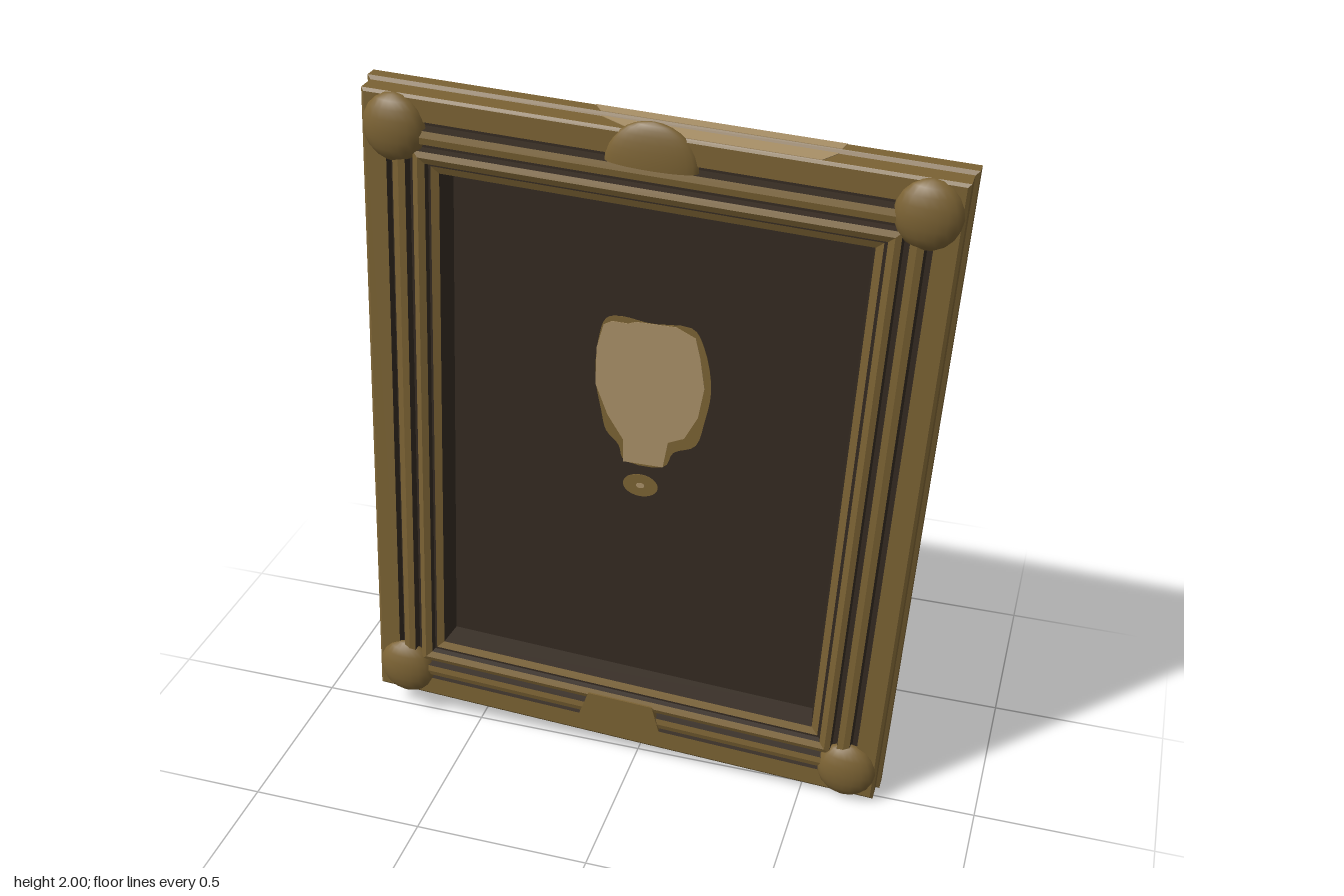
import * as THREE from 'three';

const HW = 0.772, HH = 0.96; // half size of the frame
const CANVAS_Z = -0.05;

function makeMaterial(name, color) {
  const m = new THREE.MeshStandardMaterial({ color, side: THREE.DoubleSide });
  m.name = name;
  return m;
}
const gold = makeMaterial('gold', 0x7c6334);
const dark = makeMaterial('darkBrown', 0x352b22);
const pale = makeMaterial('paleTan', 0xaa9168);

function add(parent, name, geometry, material, x = 0, y = 0, z = 0) {
  const mesh = new THREE.Mesh(geometry, material);
  mesh.name = name;
  mesh.position.set(x, y, z);
  parent.add(mesh);
  return mesh;
}

// Flat plate from an outline, centred in depth
function plate(points, depth) {
  const shape = new THREE.Shape(points.map(([x, y]) => new THREE.Vector2(x, y)));
  return new THREE.ExtrudeGeometry(shape, { depth, bevelEnabled: false }).translate(0, 0, -depth / 2);
}

// Smooth closed outline through a few points
function smoothOutline(points) {
  const curve = new THREE.CatmullRomCurve3(points.map(([x, y]) => new THREE.Vector3(x, y, 0)), true, 'centripetal');
  return curve.getPoints(60).slice(0, -1).map((p) => [p.x, p.y]);
}

// Mitred moulding: each row is [inset from the edge, z, colour of the band that follows]
const G = 0, D = 1;
const profile = [
  [0.225, CANVAS_Z, D], [0.218, -0.06, G], [0.205, -0.073, G], [0.13, -0.073, D], [0.112, -0.073, G],
  [0.045, -0.073, D], [0.03, -0.073, G], [0, -0.073, G], [0, -0.036, G],
  [0.01, -0.03, G], [0.01, 0.026, G], [0.018, 0.032, G], [0.075, 0.032, D],
  [0.079, 0.01, D], [0.091, 0.01, D], [0.095, 0.04, G], [0.112, 0.045, G],
  [0.13, 0.042, D], [0.135, 0.02, D], [0.146, 0.02, D], [0.15, 0.04, G],
  [0.165, 0.046, G], [0.182, 0.038, D], [0.186, 0.024, D], [0.192, 0.024, G],
  [0.212, 0.016, D], [0.225, CANVAS_Z, D],
];

function mouldingGeometry(colour) {
  const pos = [];
  const corner = ([inset, z], k) => {
    const sx = k % 4 === 1 || k % 4 === 2 ? 1 : -1;
    const sy = k % 4 >= 2 ? 1 : -1;
    return [sx * (HW - inset), sy * (HH - inset), z];
  };
  for (let i = 0; i < profile.length - 1; i++) {
    if (profile[i][2] !== colour) continue;
    for (let k = 0; k < 4; k++) {
      const a = corner(profile[i], k), b = corner(profile[i], k + 1);
      const c = corner(profile[i + 1], k + 1), d = corner(profile[i + 1], k);
      pos.push(...a, ...b, ...c, ...a, ...c, ...d);
    }
  }
  const g = new THREE.BufferGeometry();
  g.setAttribute('position', new THREE.Float32BufferAttribute(pos, 3));
  g.computeVertexNormals();
  return g;
}

export function createModel() {
  const model = new THREE.Group();
  model.name = 'pictureFrame';

  // Frame and canvas hang slightly crooked
  const frame = new THREE.Group();
  frame.name = 'tiltedFrame';
  frame.position.y = 1;
  frame.rotation.z = -0.052;
  model.add(frame);

  add(frame, 'goldMoulding', mouldingGeometry(G), gold);
  add(frame, 'darkGrooves', mouldingGeometry(D), dark);
  add(frame, 'canvas', new THREE.BoxGeometry(2 * (HW - 0.222), 2 * (HH - 0.222), 0.002), dark, 0, 0, CANVAS_Z);

  // Domed corner ornaments on the front face
  for (const sx of [-1, 1]) for (const sy of [-1, 1]) {
    const knob = add(frame, 'cornerOrnament', new THREE.SphereGeometry(1, 10, 10, 0, Math.PI), gold, sx * 0.675, sy * 0.86, 0.026);
    knob.scale.set(0.085, 0.091, 0.044);
  }

  // Half-dome crest above, tapered block below
  const crest = add(frame, 'topCrest', new THREE.SphereGeometry(1, 14, 8, 0, Math.PI, 0, Math.PI / 2), gold, -0.003, 0.865, 0.026);
  crest.scale.set(0.12, 0.115, 0.03);
  add(frame, 'bottomBlock',
    plate([[-0.122, -0.043], [0.122, -0.043], [0.097, 0.039], [-0.097, 0.039]], 0.02), gold, 0, -0.828, 0.038);

  // Pale patch on the top edge, one plate for each step
  const patch = (name, pts, y) => add(frame, name, plate(pts.map(([x, z]) => [x, -z]), 0.003).rotateX(-Math.PI / 2), pale, 0, y, 0);
  patch('topPatchBack', [[-0.18, -0.073], [-0.155, -0.036], [0.445, -0.036], [0.45, -0.073]], HH);
  patch('topPatchFront', [[-0.153, -0.031], [-0.055, 0.026], [0.41, 0.026], [0.44, -0.031]], HH - 0.01);

  // Painted figure, showing on both sides of the canvas
  const painting = new THREE.Group();
  painting.name = 'painting';
  painting.position.z = CANVAS_Z;
  model.add(painting);
  add(painting, 'figureShadow', plate(smoothOutline([
    [-0.1, 1.4], [-0.06, 1.41], [0.02, 1.4], [0.135, 1.4], [0.165, 1.35], [0.186, 1.23], [0.17, 1.13], [0.145, 1.05],
    [0.085, 1.02], [0.06, 0.972], [-0.055, 0.975], [-0.07, 1.02], [-0.105, 1.06], [-0.118, 1.12],
    [-0.133, 1.22], [-0.122, 1.34],
  ]), 0.005), gold);
  add(painting, 'figure', plate([
    [-0.108, 1.38], [-0.085, 1.393], [-0.04, 1.392], [-0.02, 1.4], [0.09, 1.4], [0.142, 1.375], [0.155, 1.32], [0.168, 1.23],
    [0.152, 1.14], [0.115, 1.07], [0.07, 1.05], [0.056, 0.97], [-0.056, 0.97], [-0.057, 1.04], [-0.1, 1.11],
    [-0.133, 1.2], [-0.128, 1.31],
  ], 0.008), pale);

  // Oval spot with a small pale centre
  const oval = (name, rx, ry, depth, material) => {
    const disc = add(painting, name, new THREE.CylinderGeometry(1, 1, depth, 24).rotateX(Math.PI / 2), material, -0.008, 0.9, 0);
    disc.scale.set(rx, ry, 1);
  };
  oval('ovalSpot', 0.05, 0.035, 0.005, gold);
  oval('ovalCentre', 0.012, 0.008, 0.008, pale);

  return model;
}
